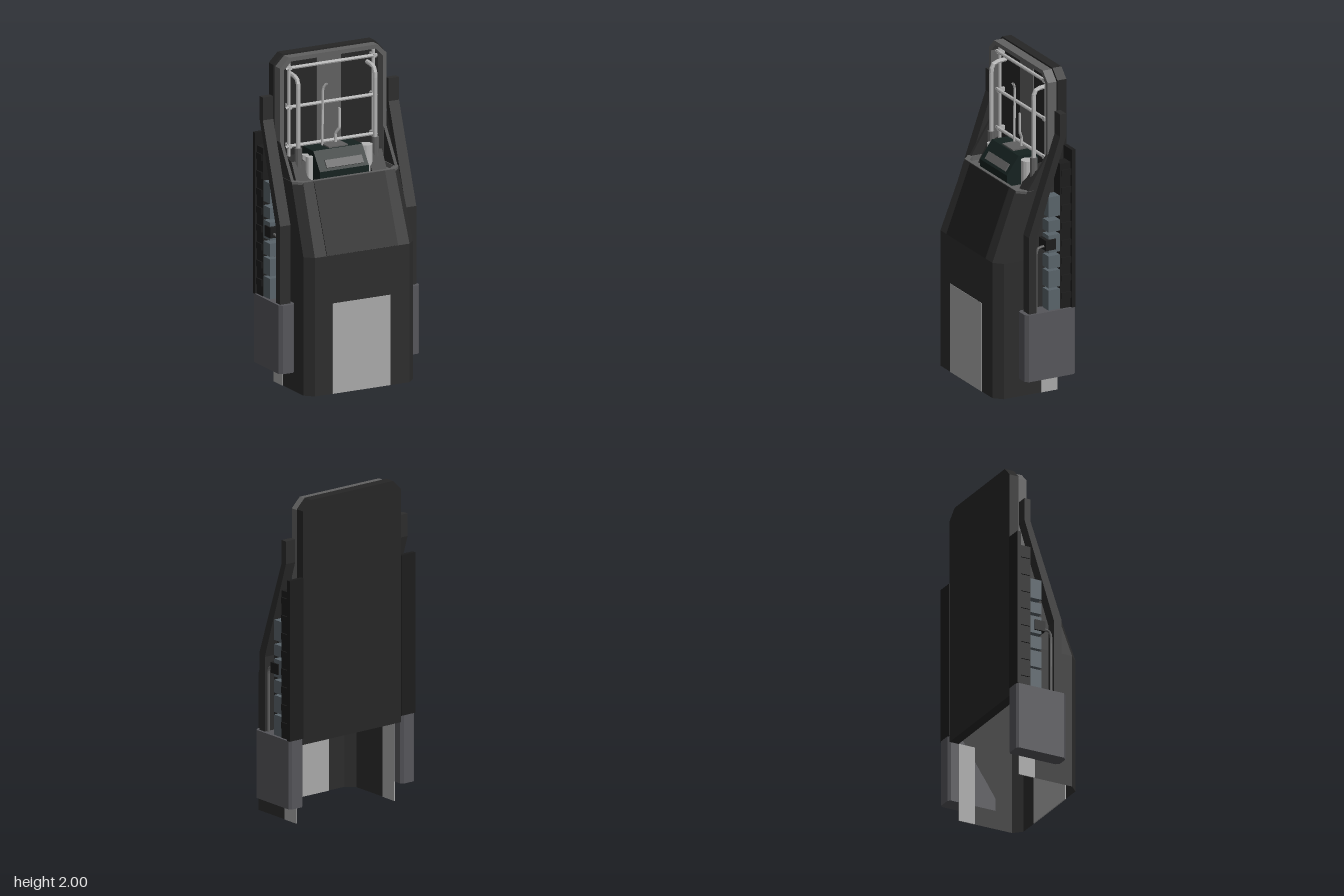
import * as THREE from 'three';

const mat = (color) => new THREE.MeshStandardMaterial({ color, flatShading: true, side: THREE.DoubleSide });
const M = {
  shell: mat(0x2c2c2c), dark: mat(0x1c1c1c), plate: mat(0x262626), grey: mat(0xa8a8a8), pod: mat(0x55555a),
  steel: mat(0xb5b5b5), mid: mat(0x606060), green: mat(0x15211f), blue: mat(0x59636a),
};

function add(parent, name, geometry, material, x = 0, y = 0, z = 0) {
  const m = new THREE.Mesh(geometry, material);
  m.name = name;
  m.position.set(x, y, z);
  parent.add(m);
  return m;
}

// Box given by its minimum and maximum on each axis
function box(parent, name, material, x0, x1, y0, y1, z0, z1) {
  return add(parent, name, new THREE.BoxGeometry(x1 - x0, y1 - y0, z1 - z0), material,
    (x0 + x1) / 2, (y0 + y1) / 2, (z0 + z1) / 2);
}

function tube(parent, name, material, points, r) {
  const path = new THREE.CurvePath();
  const v = points.map((p) => new THREE.Vector3(...p));
  for (let i = 1; i < v.length; i++) path.add(new THREE.LineCurve3(v[i - 1], v[i]));
  const curve = v.length > 2 ? new THREE.CatmullRomCurve3(v, false, 'catmullrom', 0.15) : path;
  return add(parent, name, new THREE.TubeGeometry(curve, v.length > 2 ? 24 : 1, r, 8), material);
}

const shapeOf = (pts) => new THREE.Shape(pts.map((p) => new THREE.Vector2(...p)));
const extrude = (shape, depth) => new THREE.ExtrudeGeometry(shape, { depth, bevelEnabled: false });

// Rectangle outline with chosen chamfers at its bottom and top corners
function chamfered(x0, x1, y0, y1, bottom, top) {
  return [[x0 + bottom, y0], [x1 - bottom, y0], [x1, y0 + bottom], [x1, y1 - top],
    [x1 - top, y1], [x0 + top, y1], [x0, y1 - top], [x0, y0 + bottom]];
}

// Open strip skinned between levels of [half width, y, front z]
function shellGeometry(levels) {
  const rings = levels.map(([w, y, f]) => [[-w, y, -0.17], [-w, y, f - 0.05], [-w + 0.05, y, f],
    [w - 0.05, y, f], [w, y, f - 0.05], [w, y, -0.17]]);
  const pos = [];
  for (let i = 0; i + 1 < rings.length; i++) {
    for (let j = 0; j < 5; j++) {
      const a = rings[i][j], b = rings[i][j + 1], c = rings[i + 1][j + 1], d = rings[i + 1][j];
      pos.push(...a, ...b, ...c, ...a, ...c, ...d);
    }
  }
  const g = new THREE.BufferGeometry();
  g.setAttribute('position', new THREE.Float32BufferAttribute(pos, 3));
  g.computeVertexNormals();
  return g;
}

function buildBody(root) {
  const g = new THREE.Group();
  g.name = 'body';
  root.add(g);
  add(g, 'frontShell', shellGeometry([[0.37, 0, 0.24], [0.37, 0.85, 0.24], [0.36, 1.27, 0.08]]), M.shell);
  box(g, 'frontPanel', M.grey, -0.2, 0.19, 0, 0.555, 0.235, 0.242);
  for (const s of [-1, 1]) box(g, 'sideStrip', M.grey, s * 0.37 - 0.003, s * 0.37 + 0.003, 0, 0.5, -0.17, -0.06);

  // Raised panel lying on the sloping part
  const slope = add(g, 'slopePanel', new THREE.BoxGeometry(0.48, 0.447, 0.008), M.dark, 0, 1.06, 0.161);
  slope.rotation.x = -Math.atan2(0.16, 0.42);

  // Rim around the top opening
  const rim = shapeOf(chamfered(-0.36, 0.36, -0.08, 0.17, 0.045, 0));
  rim.holes.push(new THREE.Path(chamfered(-0.335, 0.335, -0.06, 0.15, 0.045, 0).map((p) => new THREE.Vector2(...p))));
  add(g, 'topRim', extrude(rim, 0.03).rotateX(-Math.PI / 2), M.mid, 0, 1.243, 0);
  const deck = shapeOf(chamfered(-0.35, 0.35, -0.07, 0.17, 0.045, 0));
  add(g, 'deck', extrude(deck, 0.02).rotateX(-Math.PI / 2), M.mid, 0, 1.22, 0);

  // Sloping cheeks joining the shell to the back plate
  const cheek = shapeOf([[-0.03, 1.26], [0.17, 1.26], [0.17, 1.48], [0.11, 1.48]]);
  for (const x of [-0.36, 0.34]) add(g, 'cheek', extrude(cheek, 0.02).rotateY(Math.PI / 2), M.shell, x, 0, 0);
}

function buildBack(root) {
  const g = new THREE.Group();
  g.name = 'backPanel';
  root.add(g);
  add(g, 'backPlate', extrude(shapeOf(chamfered(-0.37, 0.37, 0.5, 2, 0, 0.06)), 0.06), M.plate, 0, 0, -0.23);
  const frame = shapeOf(chamfered(-0.36, 0.36, 1.24, 1.99, 0, 0.06));
  frame.holes.push(new THREE.Path(chamfered(-0.335, 0.335, 1.25, 1.965, 0, 0.05).map((p) => new THREE.Vector2(...p))));
  add(g, 'frame', extrude(frame, 0.06), M.mid, 0, 0, -0.17);
  box(g, 'centreStrip', M.mid, -0.08, 0.08, 1.27, 1.965, -0.17, -0.164);

  // Rack of bars
  for (const y of [1.44, 1.68, 1.92]) {
    tube(g, 'crossBar', M.steel, [[-0.305, y, -0.13], [0.305, y, -0.13]], 0.011);
    for (const s of [-1, 1]) box(g, 'barBracket', M.steel, s * 0.285 - 0.01, s * 0.285 + 0.01, y - 0.012, y + 0.012, -0.17, -0.12);
  }
  for (const s of [-1, 1]) {
    tube(g, 'uprightBar', M.steel, [[s * 0.285, 1.3, -0.14], [s * 0.285, 1.97, -0.14]], 0.01);
    tube(g, 'bentPipe', M.steel, [[s * 0.26, 1.24, -0.07], [s * 0.26, 1.5, -0.07], [s * 0.26, 1.82, -0.07],
      [s * 0.26, 1.865, -0.09], [s * 0.26, 1.875, -0.17]], 0.014);
    add(g, 'pipeCollar', new THREE.CylinderGeometry(0.022, 0.022, 0.2, 10), M.mid, s * 0.26, 1.34, -0.07);
  }
}

function buildDeckGear(root) {
  const g = new THREE.Group();
  g.name = 'deckEquipment';
  root.add(g);
  // Stepped central housing with a light tray
  const side = shapeOf([[-0.05, 1.23], [0.16, 1.23], [0.16, 1.42], [0.03, 1.42], [0, 1.38], [-0.05, 1.31]]);
  add(g, 'housing', extrude(side, 0.33).rotateY(Math.PI / 2), M.green, -0.18, 0, 0);
  box(g, 'housingTop', M.mid, -0.07, 0.06, 1.415, 1.428, -0.15, -0.04);
  const tray = box(g, 'housingFace', M.mid, -0.13, 0.12, 1.32, 1.37, 0.018, 0.034);
  tray.rotation.x = -0.6;

  // Corner blocks, canisters and a large cap
  for (const s of [-1, 1]) {
    const block = shapeOf([[0, 1.23], [0.15, 1.23], [0.15, 1.38], [0.07, 1.36]]);
    add(g, 'cornerBlock', extrude(block, 0.1).rotateY(Math.PI / 2), M.shell, s * 0.255 - 0.05, 0, 0);
  }
  add(g, 'largeCap', new THREE.CylinderGeometry(0.04, 0.04, 0.18, 14), M.steel, 0.195, 1.315, -0.065);
  for (const z of [-0.085, -0.035]) {
    add(g, 'canister', new THREE.CylinderGeometry(0.022, 0.022, 0.17, 12), M.steel, -0.205, 1.305, z);
  }

  // Aerials
  tube(g, 'tallAerial', M.steel, [[-0.07, 1.42, -0.12], [-0.065, 1.76, -0.12], [-0.05, 1.8, -0.1]], 0.008);
  tube(g, 'shortAerial', M.steel, [[0.02, 1.42, -0.12], [0.02, 1.48, -0.12], [0.035, 1.52, -0.1], [0.035, 1.64, -0.1]], 0.009);
}

function buildSide(root, s) {
  const g = new THREE.Group();
  g.name = s > 0 ? 'leftSideUnit' : 'rightSideUnit';
  root.add(g);
  const sideBox = (name, m, a, b, ...rest) => box(g, name, m, Math.min(s * a, s * b), Math.max(s * a, s * b), ...rest);
  // Chamfered lower bin
  const base = shapeOf(chamfered(-0.0525, 0.0525, -0.098, 0.238, 0.02, 0.015));
  add(g, 'lowerBin', extrude(base, 0.42).rotateX(-Math.PI / 2), M.pod, s * 0.4225, 0.12, 0);

  // Dark spine with ribs
  sideBox('spineBack', M.dark, 0.37, 0.475, 0.54, 1.53, -0.235, -0.21);
  sideBox('spine', M.dark, 0.385, 0.46, 0.54, 1.45, -0.215, -0.14);
  for (let i = 0; i < 8; i++) sideBox('spineRib', M.dark, 0.38, 0.468, 0.6 + i * 0.11, 0.64 + i * 0.11, -0.215, -0.145);

  // Stacked blocks in front of the spine
  for (const [y0, y1] of [[0.54, 0.665], [0.68, 0.785], [0.8, 0.88], [0.9, 1.01], [1.03, 1.1], [1.125, 1.25]]) {
    sideBox('stackBlock', M.blue, 0.385, 0.455, y0, y1, -0.14, -0.063);
  }
  sideBox('clamp', M.dark, 0.38, 0.465, 0.92, 0.985, -0.11, -0.04);
  tube(g, 'sidePipe', M.mid, [[s * 0.44, 0.52, 0.01], [s * 0.44, 0.9, 0.01], [s * 0.44, 0.94, -0.005], [s * 0.44, 0.945, -0.06]], 0.008);

  // Cranked arm
  const arm = shapeOf([[-0.07, 0.54], [-0.02, 0.54], [-0.02, 1.0], [0.18, 1.62], [0.18, 1.76],
    [0.14, 1.76], [0.14, 1.62], [-0.07, 1.02]]);
  add(g, 'arm', extrude(arm, 0.07).rotateY(Math.PI / 2), M.shell, s * 0.425 - 0.035, 0, 0);
  // Link holding the unit to the body
  for (const y of [0.75, 1.15]) sideBox('link', M.mid, 0.34, 0.4, y, y + 0.05, -0.17, -0.1);
}

export function createModel() {
  const root = new THREE.Group();
  root.name = 'equipmentPack';
  buildBody(root);
  buildBack(root);
  buildDeckGear(root);
  for (const s of [-1, 1]) buildSide(root, s);
  return root;
}
